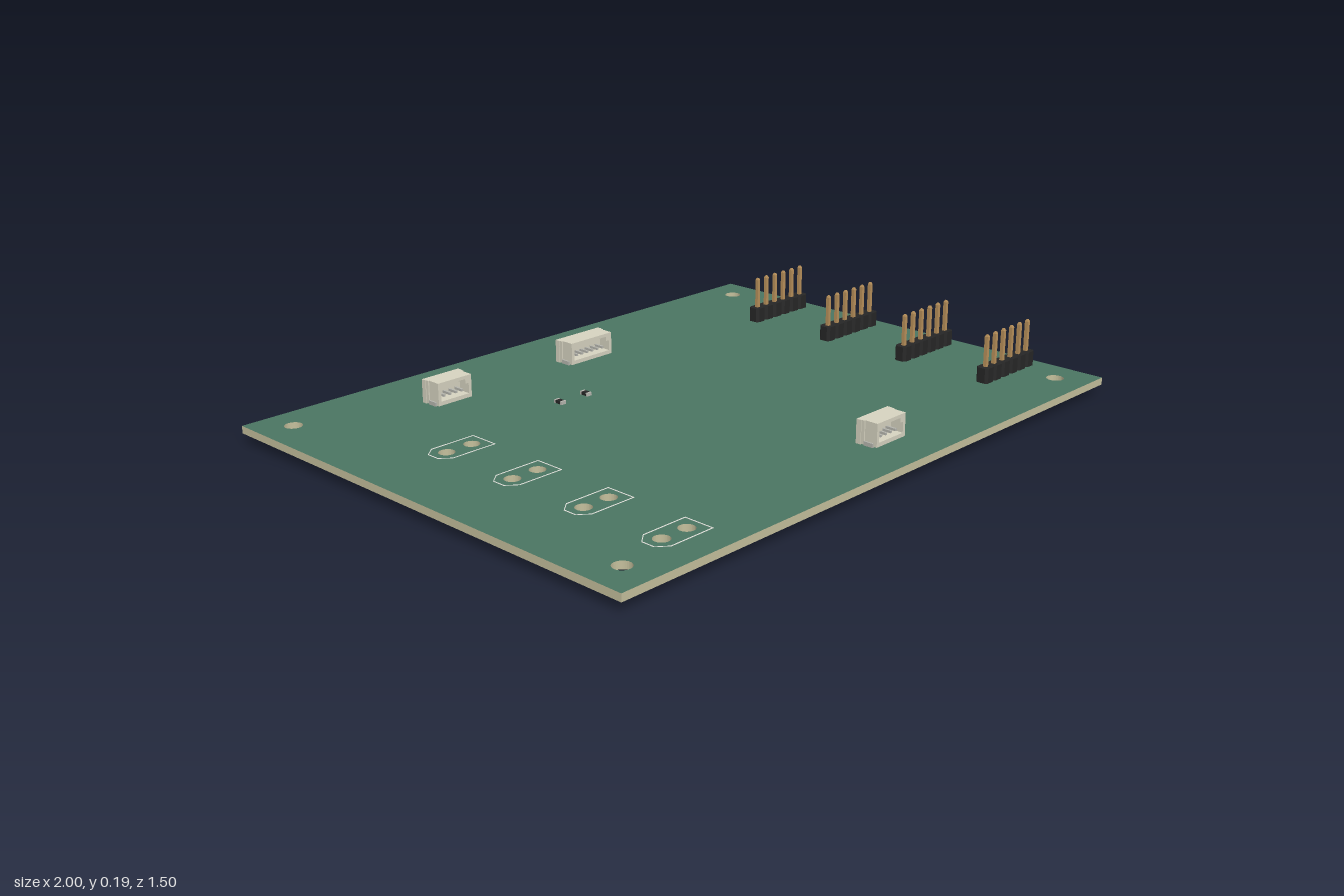
import * as THREE from 'three';

const mat = (color) => new THREE.MeshStandardMaterial({ color, flatShading: true });
const green = mat(0x4b7562), beige = mat(0xc4bf9c), shell = mat(0xd6d3c0);
const black = mat(0x262626), gold = mat(0xb8905a), metal = mat(0xb5b5ae), white = mat(0xe6e6e0);
const BOTTOM = 0.028, TOP = 0.05;

function add(parent, name, geometry, material, x = 0, y = 0, z = 0) {
  const mesh = new THREE.Mesh(geometry, material);
  mesh.name = name;
  mesh.position.set(x, y, z);
  parent.add(mesh);
  return mesh;
}

function poly(points, Type = THREE.Shape) {
  return new Type(points.map(([x, y]) => new THREE.Vector2(x, y)));
}

function rectPath(x0, y0, x1, y1, Type) {
  return poly([[x0, y0], [x1, y0], [x1, y1], [x0, y1]], Type);
}

function extrude(shape, depth) {
  return new THREE.ExtrudeGeometry(shape, { depth, bevelEnabled: false, curveSegments: 16 });
}

// Flat shape drawn in x and -z, raised along y
const slab = (shape, depth) => extrude(shape, depth).rotateX(-Math.PI / 2);

const POWER_Z = [-0.185, 0.08, 0.345, 0.612];

function makeBoard(group) {
  const shape = rectPath(-1, -0.75, 1, 0.75);
  const hole = (x, z, r) => shape.holes.push(new THREE.Path().absarc(x, -z, r, 0, Math.PI * 2, true));
  for (const x of [-0.9, 0.9]) for (const z of [-0.65, 0.65]) hole(x, z, 0.026);
  for (const z of POWER_Z) for (const x of [-0.735, -0.65]) hole(x, z, 0.023);
  add(group, 'circuitBoard', slab(shape, TOP - BOTTOM), [green, beige], 0, BOTTOM, 0);
}

// Printed outline around each pair of power holes
function makeOutlines(group) {
  const outline = (i, Type) => poly([
    [-0.75, -0.047 + i], [-0.607 - i, -0.047 + i], [-0.607 - i, 0.047 - i],
    [-0.75, 0.047 - i], [-0.782 + i, 0.02], [-0.782 + i, -0.02]], Type);
  const shape = outline(0);
  shape.holes.push(outline(0.003, THREE.Path));
  const geometry = slab(shape, 0.001);
  for (const z of POWER_Z) add(group, 'powerOutline', geometry, white, 0, TOP, z);
}

// Six-way pin header: one chamfered block and one square pin per way
function makeHeader(z) {
  const header = new THREE.Group();
  header.name = 'pinHeader';
  const a = 0.0213, b = 0.0205, c = 0.013;
  const block = slab(poly([[-c, -b], [c, -b], [a, -c], [a, c], [c, b], [-c, b], [-a, c], [-a, -c]]), 0.046);
  const profile = [[0, 0], [0.004, 0], [0.0078, 0.006], [0.0078, 0.189], [0.004, 0.195], [0, 0.195]];
  const pin = new THREE.LatheGeometry(profile.map(([r, y]) => new THREE.Vector2(r, y)), 4).rotateY(Math.PI / 4);
  for (let i = 0; i < 6; i++) {
    const x = 0.73 + i * 0.0427;
    add(header, 'headerBlock', block, black, x, TOP, z);
    add(header, 'headerPin', pin, gold, x, 0, z);
  }
  return header;
}

// Side-entry socket: open front frame, middle wall, recessed rear and solder contacts
function makeSocket(x, z, width, ways) {
  const socket = new THREE.Group();
  socket.name = 'wireSocket';
  socket.position.set(x, TOP, z);
  const w = width / 2, h = 0.07;

  const front = rectPath(-w + 0.006, 0.002, w - 0.006, h);
  front.holes.push(poly([
    [-w + 0.016, 0.014], [w - 0.016, 0.014], [w - 0.016, 0.046], [w - 0.028, 0.046],
    [w - 0.028, 0.06], [-w + 0.028, 0.06], [-w + 0.028, 0.046], [-w + 0.016, 0.046]], THREE.Path));
  add(socket, 'socketFront', extrude(front, 0.04), shell, 0, 0, -0.007);

  add(socket, 'socketWall', new THREE.BoxGeometry(width - 0.004, h - 0.002, 0.01), shell, 0, h / 2 + 0.001, -0.012);

  // Rear frame is open at the bottom where the contacts leave
  const rear = poly([
    [-w, 0], [-w + 0.018, 0], [-w + 0.018, 0.052], [w - 0.018, 0.052],
    [w - 0.018, 0], [w, 0], [w, h], [-w, h]]);
  add(socket, 'socketRear', extrude(rear, 0.016), shell, 0, 0, -0.033);

  const foot = new THREE.BoxGeometry(0.007, 0.005, 0.034);
  const riser = new THREE.BoxGeometry(0.007, 0.024, 0.005);
  const blade = new THREE.BoxGeometry(0.007, 0.007, 0.034);
  for (let i = 0; i < ways; i++) {
    const px = (i - (ways - 1) / 2) * 0.0213;
    add(socket, 'contactFoot', foot, metal, px, 0.0035, -0.031);
    add(socket, 'contactRiser', riser, metal, px, 0.014, -0.019);
    add(socket, 'contactBlade', blade, metal, px, 0.026, 0.008);
  }
  // Side solder tabs
  for (const s of [-1, 1]) {
    add(socket, 'solderTab', new THREE.BoxGeometry(0.006, 0.012, 0.03), metal, s * (w - 0.004), 0.006, 0.008);
  }
  return socket;
}

// Small surface-mount part with metal end caps
function makeChip(x, z) {
  const chip = new THREE.Group();
  chip.name = 'chipPart';
  chip.position.set(x, TOP, z);
  add(chip, 'chipBody', new THREE.BoxGeometry(0.017, 0.009, 0.02), black, 0, 0.005, 0);
  for (const s of [-1, 1]) {
    add(chip, 'chipCap', new THREE.BoxGeometry(0.018, 0.01, 0.006), metal, 0, 0.005, s * 0.0125);
  }
  return chip;
}

export function createModel() {
  const model = new THREE.Group();
  model.name = 'circuitBoardAssembly';
  makeBoard(model);
  makeOutlines(model);
  for (const z of [-0.385, -0.085, 0.215, 0.515]) model.add(makeHeader(z));
  model.add(makeSocket(-0.47, -0.51, 0.132, 4));
  model.add(makeSocket(0.065, -0.51, 0.178, 6));
  model.add(makeSocket(0.132, 0.588, 0.136, 4));
  for (const x of [-0.27, -0.17]) model.add(makeChip(x, -0.253));
  return model;
}
